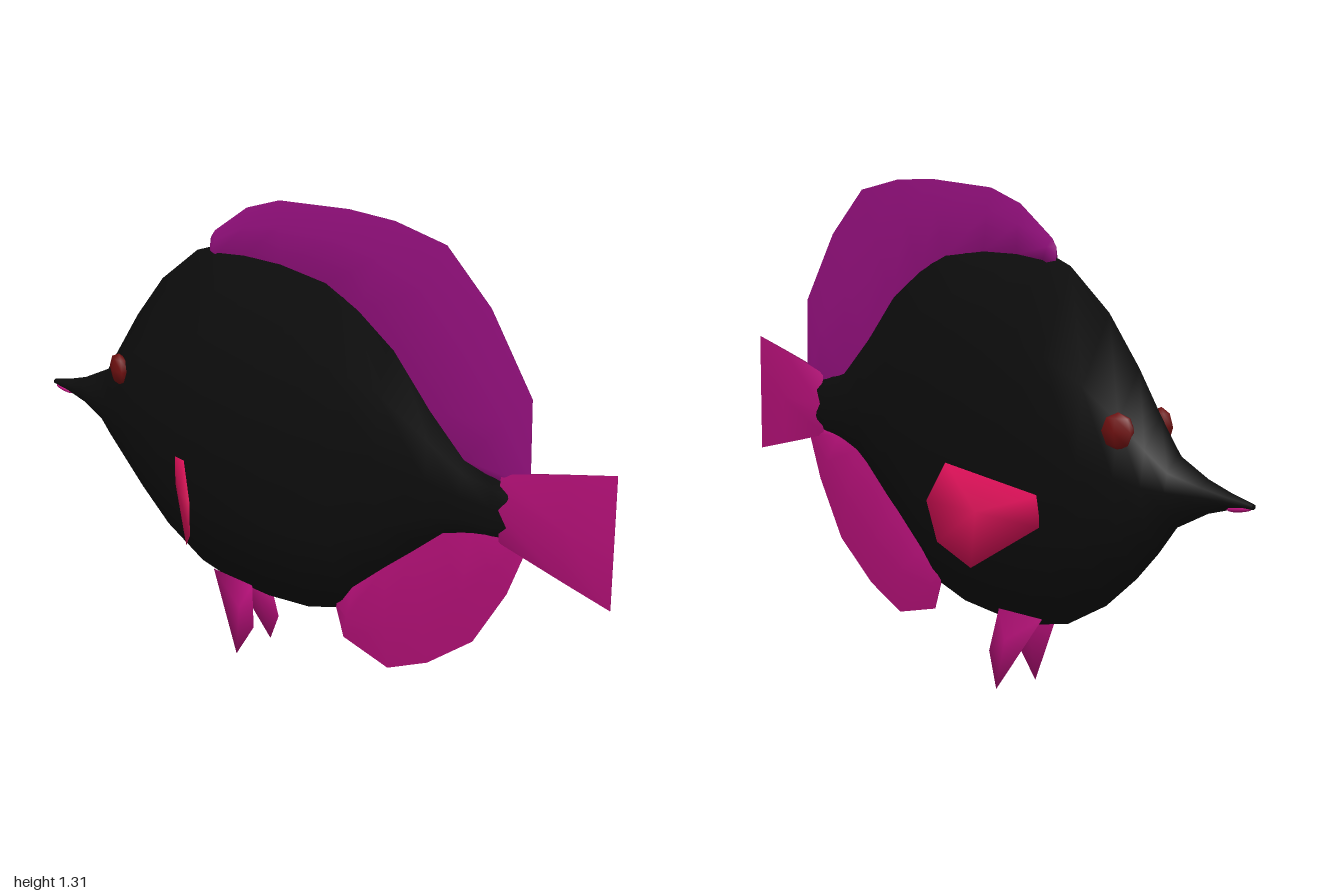
import * as THREE from 'three';

const mat = (name, color, side = THREE.FrontSide) => {
  const m = new THREE.MeshStandardMaterial({ color, side });
  m.name = name;
  return m;
};

function indexed(points, index) {
  const g = new THREE.BufferGeometry();
  g.setAttribute('position', new THREE.Float32BufferAttribute(points.flat(), 3));
  g.setIndex(index);
  g.computeVertexNormals();
  return g;
}

// Skin over a row of closed rings, with both ends capped
function loft(rings) {
  const n = rings[0].length, last = (rings.length - 1) * n, index = [];
  for (let i = 0; i < rings.length - 1; i++) {
    for (let j = 0; j < n; j++) {
      const a = i * n + j, b = i * n + (j + 1) % n;
      index.push(a, a + n, b, b, a + n, b + n);
    }
  }
  for (let j = 1; j < n - 1; j++) {
    index.push(0, j, j + 1, last, last + j + 1, last + j);
  }
  return indexed(rings.flat(), index);
}

// Upright fin on the centre plane: [z, y] pairs along its root and its edge
function medianFin(root, edge, thickness) {
  return loft(root.map(([z0, y0], i) => {
    const [z1, y1] = edge[i];
    const end = i === 0 || i === root.length - 1;
    const t = end ? thickness * 0.3 : thickness;
    const z = z0 + (z1 - z0) * 0.6, y = y0 + (y1 - y0) * 0.6;
    return [[t, y0, z0], [t * 0.8, y, z], [0.001, y1, z1],
      [-0.001, y1, z1], [-t * 0.8, y, z], [-t, y0, z0]];
  }));
}

// Thin paired fin: a rim with a slightly raised middle on both faces
function blade(rim, centre, normal, t, side) {
  const n = rim.length, index = [];
  const points = [...rim, ...[1, -1].map(s => centre.map((c, k) => c + normal[k] * t * s))]
    .map(([x, y, z]) => [x * side, y, z]);
  for (let j = 0; j < n; j++) {
    const k = (j + 1) % n;
    index.push(j, k, n, k, j, n + 1);
  }
  return indexed(points, index);
}

export function createModel() {
  const group = new THREE.Group();
  const D = THREE.DoubleSide;
  const black = mat('bodyBlack', 0x0d0d0d);
  const purple = mat('dorsalPurple', 0x96107f, D);
  const magenta = mat('finMagenta', 0xb51078, D);
  const crimson = mat('pectoralCrimson', 0xdc1058, D);
  const red = mat('eyeRed', 0x6e1010);
  const add = (name, geometry, material) => {
    const m = new THREE.Mesh(geometry, material);
    m.name = name;
    group.add(m);
    return m;
  };

  // Body stations from snout to tail root: z, top, bottom, half width
  const stations = [
    [-1, 0.606, 0.592, 0.007], [-0.93, 0.622, 0.582, 0.018], [-0.86, 0.643, 0.562, 0.025],
    [-0.76, 0.69, 0.513, 0.045], [-0.7, 0.775, 0.44, 0.065], [-0.626, 0.88, 0.364, 0.085],
    [-0.52, 1.005, 0.277, 0.107], [-0.38, 1.11, 0.203, 0.114], [-0.27, 1.148, 0.18, 0.113],
    [-0.12, 1.16, 0.174, 0.104], [0.03, 1.155, 0.187, 0.092], [0.16, 1.125, 0.225, 0.078],
    [0.31, 1.033, 0.355, 0.06], [0.46, 0.868, 0.49, 0.041], [0.56, 0.775, 0.54, 0.028],
    [0.65, 0.746, 0.552, 0.018], [0.695, 0.728, 0.57, 0.014], [0.725, 0.675, 0.62, 0.008],
  ];
  const section = [[0, 1], [0.82, 0.52], [1, 0], [0.82, -0.52],
    [0, -1], [-0.82, -0.52], [-1, 0], [-0.82, 0.52]];
  add('body', loft(stations.map(([z, top, bottom, w]) => section.map(([x, y]) =>
    [x * w, (top + bottom) / 2 + y * (top - bottom) / 2, z]))), black);

  // Fins on the centre line
  add('dorsalFin', medianFin(
    [[-0.33, 1.1], [-0.29, 1.12], [-0.19, 1.13], [-0.06, 1.13], [0.1, 1.11],
      [0.21, 1.06], [0.33, 0.98], [0.45, 0.85], [0.56, 0.75], [0.69, 0.71]],
    [[-0.326, 1.155], [-0.31, 1.176], [-0.19, 1.257], [-0.075, 1.294], [0.166, 1.31],
      [0.316, 1.305], [0.48, 1.273], [0.62, 1.144], [0.75, 0.947], [0.754, 0.75]],
    0.012), purple);
  add('analFin', medianFin(
    [[0.68, 0.58], [0.59, 0.565], [0.5, 0.54], [0.4, 0.46], [0.31, 0.39], [0.2, 0.3], [0.12, 0.26]],
    [[0.743, 0.545], [0.695, 0.428], [0.594, 0.267], [0.45, 0.16], [0.316, 0.1],
      [0.16, 0.139], [0.13, 0.225]],
    0.012), magenta);
  add('tailFin', medianFin(
    [[0.67, 0.74], [0.67, 0.65], [0.67, 0.56]],
    [[1, 0.82], [1, 0.65], [1, 0.48]],
    0.016), magenta);

  // Paired fins and eyes
  for (const [name, s] of [['left', 1], ['right', -1]]) {
    add(name + 'PectoralFin', blade(
      [[0.1, 0.545, -0.38], [0.245, 0.62, -0.19], [0.27, 0.52, -0.145],
        [0.252, 0.415, -0.165], [0.2, 0.352, -0.235], [0.1, 0.465, -0.38]],
      [0.195, 0.5, -0.25], [0.81, 0, -0.59], 0.01, s), crimson);
    add(name + 'PelvicFin', blade(
      [[0.025, 0.205, -0.31], [0.034, 0.205, -0.15], [0.05, 0.09, -0.13], [0.068, 0, -0.18]],
      [0.043, 0.13, -0.19], [1, 0, 0.2], 0.004, s), magenta);
    const eye = add(name + 'Eye', new THREE.SphereGeometry(0.046, 6, 4), red);
    eye.position.set(0.072 * s, 0.735, -0.63);
    eye.rotation.y = 0.3 * s;
    eye.scale.x = 0.5;
  }

  // Mouth under the snout tip
  const mouth = add('mouth', new THREE.SphereGeometry(1, 8, 6), magenta);
  mouth.scale.set(0.014, 0.007, 0.04);
  mouth.position.set(0, 0.587, -0.955);
  mouth.rotation.x = 0.15;

  return group;
}
